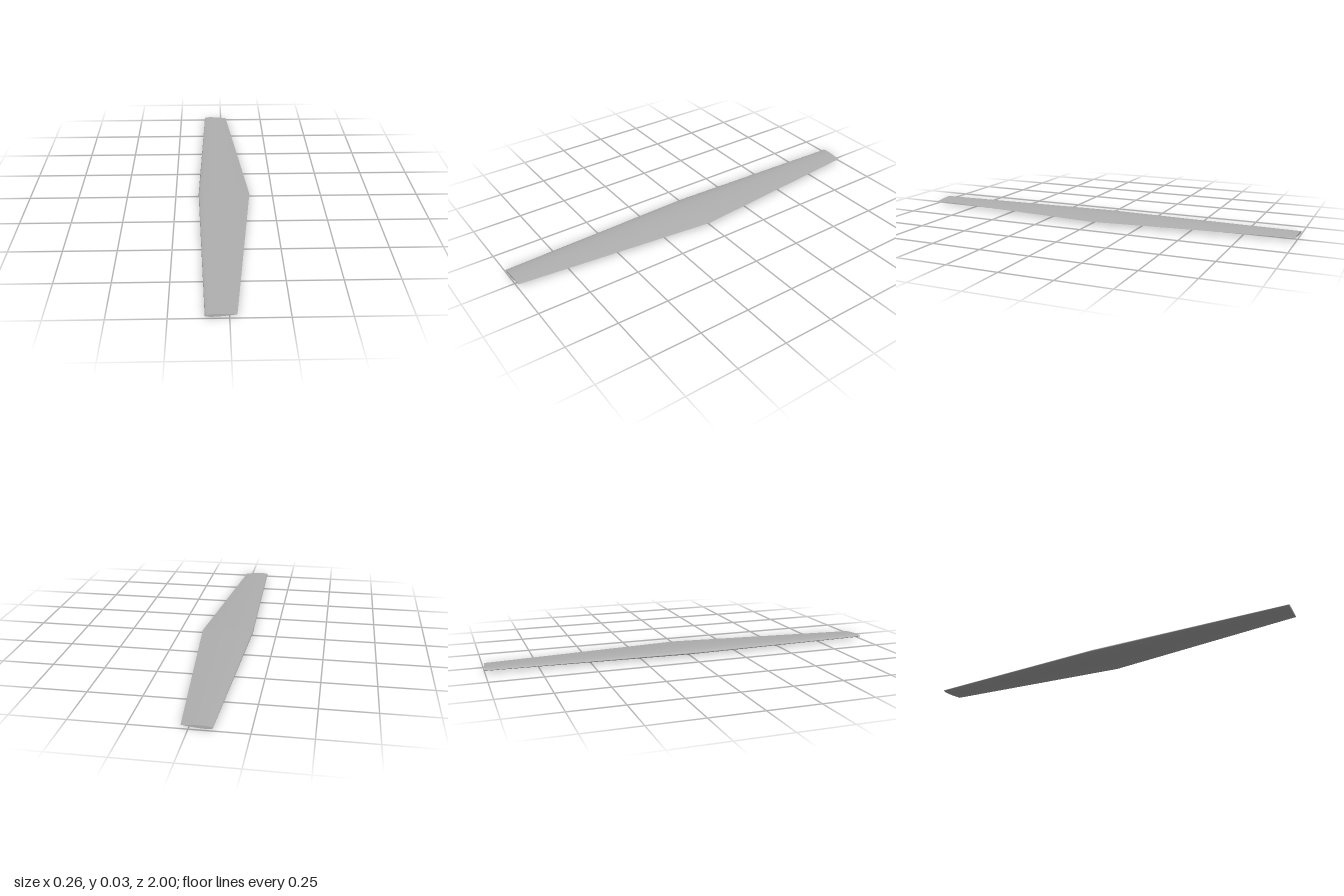
import * as THREE from 'three';

const N = 20;          // profile points on each surface
const MID_Y = 0.0132;  // height of the chord plane

// Symmetric aerofoil, from trailing edge over the top, round the nose and back below
function aerofoil(lead, trail, z, slant) {
  const chord = trail - lead, points = [];
  for (let i = -N; i <= N; i++) {
    const t = (1 - Math.cos(Math.PI * i / N)) / 2;
    const half = 0.5 * (0.2969 * Math.sqrt(t) - 0.126 * t - 0.3516 * t ** 2 + 0.2843 * t ** 3 - 0.1036 * t ** 4);
    points.push([lead + t * chord, MID_Y - Math.sign(i) * half * chord, z - slant * t]);
  }
  return points;
}

function build(points, index) {
  const geometry = new THREE.BufferGeometry();
  geometry.setAttribute('position', new THREE.Float32BufferAttribute(points.flat(), 3));
  geometry.setIndex(index);
  geometry.computeVertexNormals();
  return geometry;
}

// Skin between two sections, the first at the smaller z
function loft(a, b) {
  const n = a.length, index = [];
  for (let i = 0; i < n - 1; i++) {
    index.push(i, i + 1, n + i, i + 1, n + i + 1, n + i);
  }
  return build([...a, ...b], index);
}

// Flat end closing a section, made of strips between upper and lower surface
function endCap(section, side) {
  const last = section.length - 1, index = [];
  for (let i = 0; i < N; i++) {
    const u = i, v = i + 1, w = last - i, x = last - i - 1;
    if (side > 0) index.push(u, v, w, v, x, w);
    else index.push(u, w, v, v, w, x);
  }
  return build(section, index);
}

export function createModel() {
  const model = new THREE.Group();
  model.name = 'wing';
  const grey = new THREE.MeshStandardMaterial({ color: 0xb0b0b0 });
  grey.name = 'light grey';

  const add = (name, geometry) => {
    const mesh = new THREE.Mesh(geometry, grey);
    mesh.name = name;
    model.add(mesh);
  };

  // Two tapered panels meeting at the wide root, each with a closed tip
  const root = aerofoil(-0.132, 0.13, 0, 0);
  for (const side of [1, -1]) {
    const label = side > 0 ? 'front' : 'back';
    const tip = aerofoil(-0.1, 0.031, side, side * 0.007);
    add(label + 'Panel', side > 0 ? loft(root, tip) : loft(tip, root));
    add(label + 'Tip', endCap(tip, side));
  }
  return model;
}
